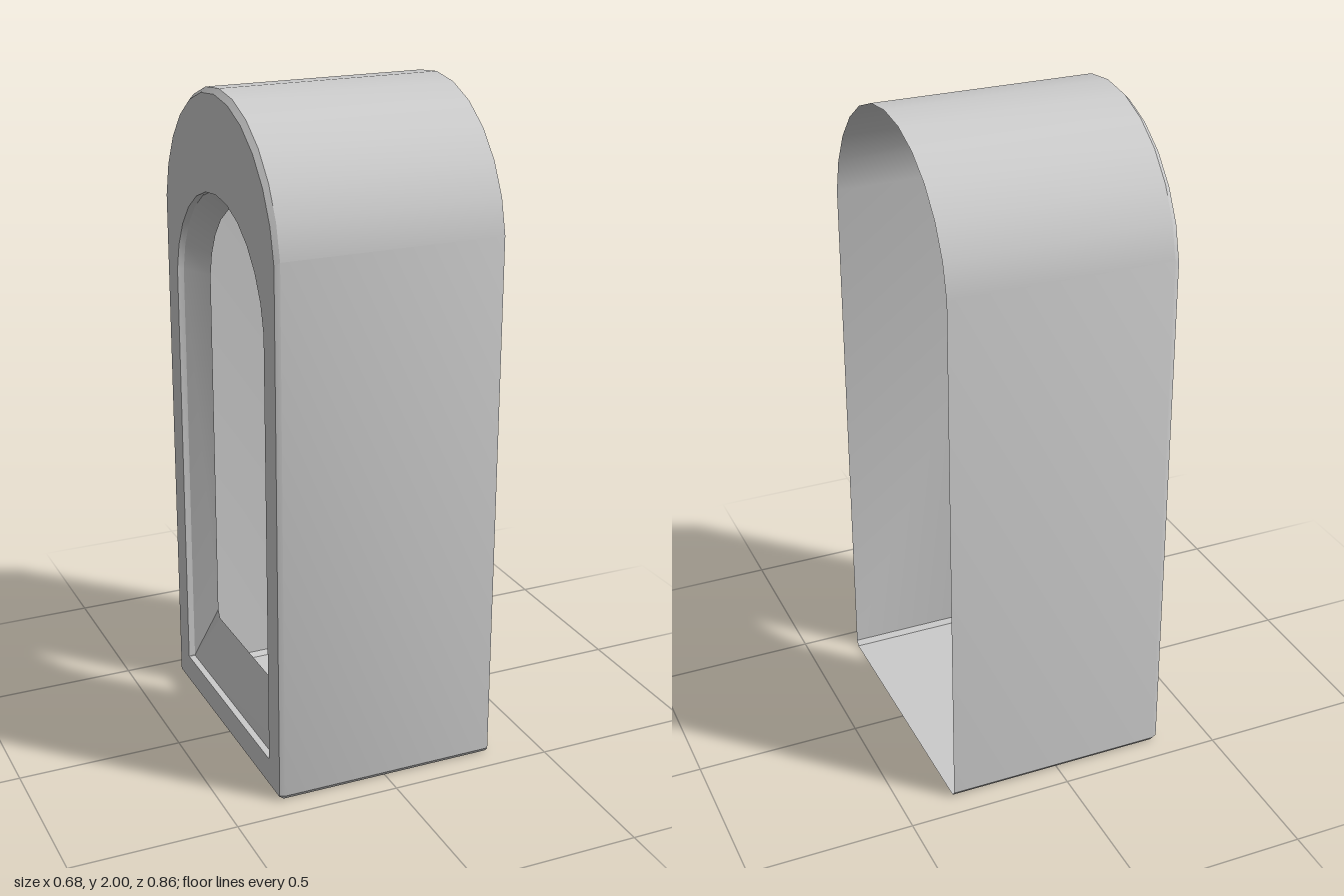
import * as THREE from 'three';
import { toCreasedNormals } from 'three/addons/utils/BufferGeometryUtils.js';

const ARC_STEPS = 12;

// Arched outline in the plane at x: flat bottom with clipped corners, arc on top
function archRing({ x, half, bottom, spring, top, clipZ = 0, clipY = 0 }) {
  const rise = top - spring;
  const radius = (half * half + rise * rise) / (2 * rise);
  const centre = top - radius;
  const start = Math.asin((spring - centre) / radius);
  const ring = [
    new THREE.Vector3(x, bottom, -half + clipZ),
    new THREE.Vector3(x, bottom, half - clipZ),
    new THREE.Vector3(x, bottom + clipY, half),
  ];
  for (let i = 0; i <= ARC_STEPS; i++) {
    const a = start + (Math.PI - 2 * start) * (i / ARC_STEPS);
    ring.push(new THREE.Vector3(x, centre + radius * Math.sin(a), radius * Math.cos(a)));
  }
  ring.push(new THREE.Vector3(x, bottom + clipY, -half));
  return ring;
}

// Skin joining successive rings
function loft(name, rings, material) {
  const positions = [];
  const put = (...points) => points.forEach((p) => positions.push(p.x, p.y, p.z));
  for (let r = 0; r < rings.length - 1; r++) {
    const a = rings[r], b = rings[r + 1];
    for (let i = 0; i < a.length; i++) {
      const j = (i + 1) % a.length;
      put(a[i], a[j], b[j]);
      put(a[i], b[j], b[i]);
    }
  }
  const geometry = new THREE.BufferGeometry();
  geometry.setAttribute('position', new THREE.Float32BufferAttribute(positions, 3));
  const mesh = new THREE.Mesh(toCreasedNormals(geometry, THREE.MathUtils.degToRad(25)), material);
  mesh.name = name;
  return mesh;
}

export function createModel() {
  const group = new THREE.Group();
  group.name = 'archedDormer';
  const material = new THREE.MeshStandardMaterial({ color: 0xcccccc, side: THREE.DoubleSide });

  const body = { half: 0.43, bottom: 0, spring: 1.62, top: 2, clipZ: 0.012, clipY: 0.015 };
  const openEnd = archRing({ ...body, x: 0.34 });
  const shoulder = archRing({ ...body, x: -0.325 });
  const faceEdge = archRing({
    x: -0.34, half: 0.424, bottom: 0.012, spring: 1.61, top: 1.985, clipZ: 0.004, clipY: 0.005,
  });
  const opening = { half: 0.345, bottom: 0.095, spring: 1.4, top: 1.705, clipZ: 0.001, clipY: 0.001 };
  const openingEdge = archRing({ ...opening, x: -0.34 });
  const openingStep = archRing({ ...opening, x: -0.32 });
  const throat = archRing({
    x: -0.25, half: 0.305, bottom: 0.24, spring: 1.38, top: 1.655, clipZ: 0.015, clipY: 0.025,
  });

  // Outer skin, open at +x, with a small bevel around the closed end
  group.add(loft('shell', [openEnd, shoulder, faceEdge], material));
  // Flat wall around the opening
  group.add(loft('facePlate', [faceEdge, openingEdge], material));
  // Short step, then a funnel with a steep sloping sill
  group.add(loft('windowReveal', [openingEdge, openingStep, throat], material));
  return group;
}
